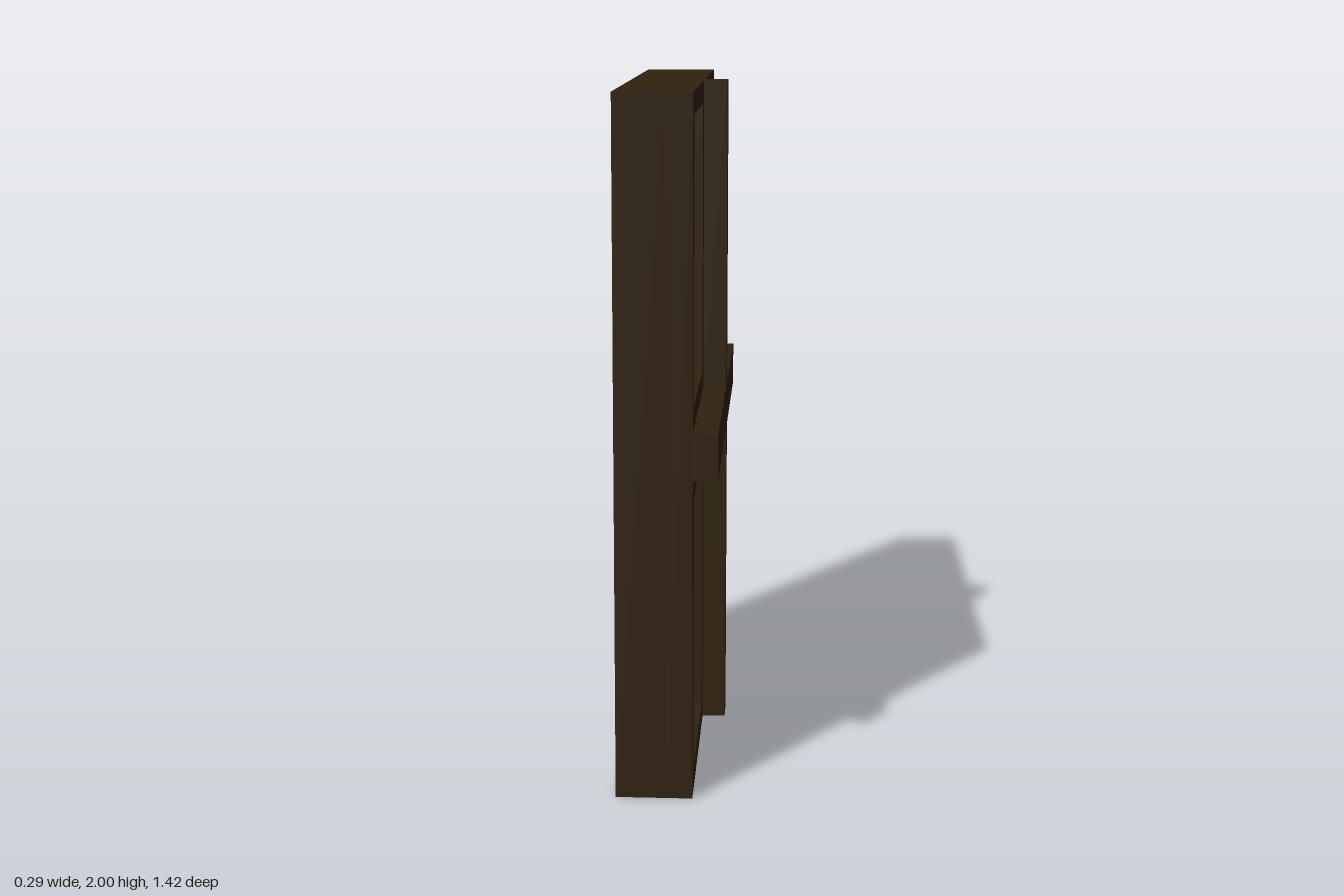
import * as THREE from 'three';

const wood = new THREE.MeshStandardMaterial({ color: 0x30220f });
wood.name = 'dark wood';
const glass = new THREE.MeshStandardMaterial({ color: 0x566a67 });
glass.name = 'grey green glass';

// Box given by its limits on each axis
function block(name, material, [x0, x1], [y0, y1], [z0, z1]) {
  const mesh = new THREE.Mesh(new THREE.BoxGeometry(x1 - x0, y1 - y0, z1 - z0), material);
  mesh.position.set((x0 + x1) / 2, (y0 + y1) / 2, (z0 + z1) / 2);
  mesh.name = name;
  return mesh;
}

// Rectangle outline in the (-z, y) plane
function rectangle(path, [u0, u1], [v0, v1]) {
  path.moveTo(u0, v0);
  path.lineTo(u1, v0);
  path.lineTo(u1, v1);
  path.lineTo(u0, v1);
  path.closePath();
  return path;
}

export function createModel() {
  const model = new THREE.Group();
  model.name = 'window';

  const BACK = -0.145, RECESS = 0.0, FACE = 0.075, FRONT = 0.145;
  const HALF = 0.711;
  const columns = [[-0.645, -0.113], [0.113, 0.645]];
  const rows = [[0.067, 0.87], [1.133, 1.936]];

  // Solid backing panel
  model.add(block('backingPanel', wood, [BACK, RECESS], [0, 2], [-HALF, HALF]));

  // Sash frame with four openings, and a pane set in each
  const outline = rectangle(new THREE.Shape(), [-HALF, HALF], [0, 2]);
  for (const column of columns) {
    for (const row of rows) {
      outline.holes.push(rectangle(new THREE.Path(), column, row));
      model.add(block('pane', glass, [RECESS, RECESS + 0.006], row, column));
    }
  }
  const frame = new THREE.Mesh(
    new THREE.ExtrudeGeometry(outline, { depth: FACE - RECESS, bevelEnabled: false }), wood);
  frame.rotation.y = Math.PI / 2;
  frame.position.x = RECESS;
  frame.name = 'sashFrame';
  model.add(frame);

  // Raised cross bars
  model.add(block('horizontalBar', wood, [FACE, FRONT], [0.935, 1.069], [-HALF, HALF]));
  for (const [y0, y1] of [[0, 0.935], [1.069, 2]]) {
    model.add(block('verticalBar', wood, [FACE, FRONT], [y0, y1], [-0.046, 0.046]));
  }
  return model;
}
